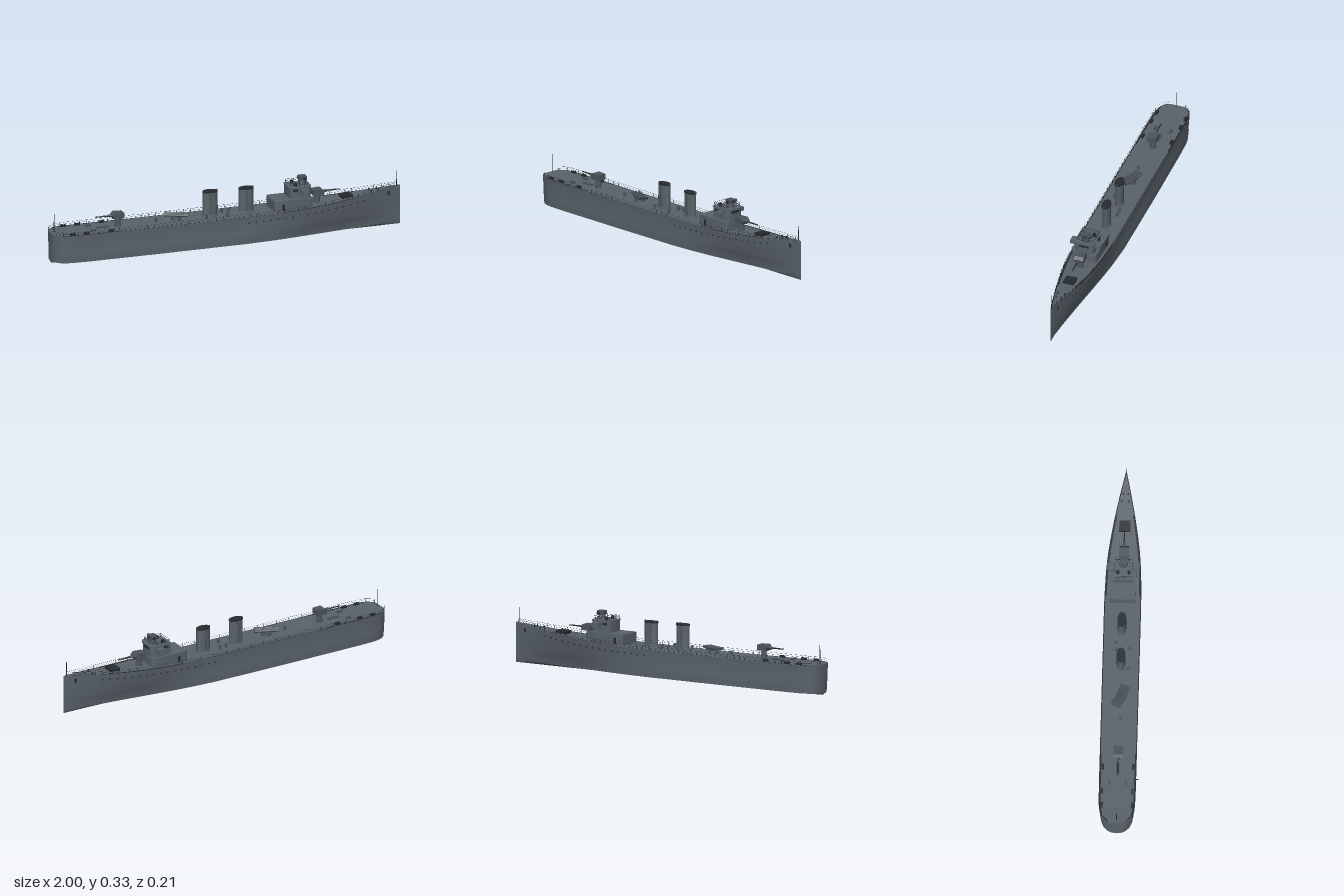
import * as THREE from 'three';
import { mergeGeometries, toCreasedNormals } from 'three/addons/utils/BufferGeometryUtils.js';

const mat = (name, color) => {
  const m = new THREE.MeshStandardMaterial({ color });
  m.name = name;
  return m;
};

export function createModel() {
  const grey = mat('ship grey', 0x59626a);
  const dark = mat('dark steel', 0x272b2f);
  const gunGrey = mat('gun grey', 0x4b535a);
  dark.side = THREE.DoubleSide;
  const ship = new THREE.Group();
  ship.name = 'warship';
  ship.position.z = -0.005; // the side boom reaches further on one side

  const add = (name, geo, m, x = 0, y = 0, z = 0, parent = ship) => {
    const mesh = new THREE.Mesh(geo, m);
    mesh.name = name;
    mesh.position.set(x, y, z);
    parent.add(mesh);
    return mesh;
  };
  const box = (name, w, h, d, m, x, y, z, parent) => add(name, new THREE.BoxGeometry(w, h, d), m, x, y, z, parent);
  const cyl = (name, r0, r1, h, m, x, y, z, parent, n = 16) => add(name, new THREE.CylinderGeometry(r0, r1, h, n), m, x, y, z, parent);

  // x, half width at deck, deck height, half width at bottom
  const table = [
    [-1, 0, 0.168, 0], [-1, 0.04, 0.168, 0.03], [-0.99, 0.062, 0.168, 0.05], [-0.97, 0.08, 0.167, 0.07],
    [-0.94, 0.092, 0.166, 0.083], [-0.9, 0.098, 0.165, 0.09], [-0.8, 0.1, 0.164, 0.094], [-0.4, 0.1, 0.162, 0.097],
    [0.1, 0.1, 0.162, 0.096], [0.25, 0.1, 0.163, 0.087], [0.35, 0.098, 0.165, 0.077], [0.45, 0.094, 0.169, 0.065],
    [0.55, 0.085, 0.175, 0.052], [0.65, 0.071, 0.182, 0.039], [0.75, 0.054, 0.191, 0.027], [0.85, 0.034, 0.202, 0.015],
    [0.94, 0.014, 0.212, 0.006], [1, 0.0005, 0.219, 0.0005],
  ];
  const at = (x, col) => {
    let i = 2;
    while (i < table.length - 1 && table[i][0] < x) i++;
    const [a, b] = [table[i - 1], table[i]];
    return THREE.MathUtils.lerp(a[col], b[col], (x - a[0]) / (b[0] - a[0]));
  };

  // Skin between cross-sections
  const loft = (sections, crease) => {
    const pos = [];
    const put = (...ps) => ps.forEach((p) => pos.push(...p));
    for (let i = 0; i + 1 < sections.length; i++) {
      for (let j = 0; j + 1 < sections[i].length; j++) {
        const [a, b, c, d] = [sections[i][j], sections[i][j + 1], sections[i + 1][j], sections[i + 1][j + 1]];
        put(a, b, c, b, d, c);
      }
    }
    const g = new THREE.BufferGeometry();
    g.setAttribute('position', new THREE.Float32BufferAttribute(pos, 3));
    return toCreasedNormals(g, crease);
  };

  // Hull with a slight bulge at the waterline and a shallow V bottom
  add('hull', loft(table.map(([x, w, y, b]) => {
    const mid = w * 0.45 + b * 0.55;
    const half = [[w, y], [w * 0.72 + b * 0.28 - 0.004 * (w / 0.1), 0.083], [mid, 0.068], [b * 0.85 + mid * 0.15, 0.03], [b, 0.012]];
    return [...half.map(([z, h]) => [x, h, z]), [x, 0, 0], ...half.reverse().map(([z, h]) => [x, h, -z])];
  }), 0.6), grey);
  add('deck', loft(table.map(([x, w, y]) => [[x, y, -w], [x, y, w]]), 0.6), grey);

  // Dark waterway along the deck edge, wider at the stern and beside the bridge
  const strip = (side, x0, x1, width, n) => {
    const rows = [];
    for (let i = 0; i <= n; i++) {
      const x = x0 + (x1 - x0) * i / n, w = at(x, 1), y = at(x, 2) + 0.0015;
      const edge = [[x, y, side * Math.max(w - width, 0)], [x, y, side * w]];
      rows.push(side > 0 ? edge : edge.reverse());
    }
    return loft(rows, 0.6);
  };
  for (const s of [-1, 1]) {
    add('deckEdge', strip(s, -0.995, 0.99, 0.005, 60), dark);
    add('sternDeckEdge', strip(s, -0.95, -0.6, 0.01, 12), dark);
    add('bowDeckEdge', strip(s, 0.3, 0.75, 0.012, 16), dark);
  }

  // Railings
  const railParts = [];
  for (const s of [-1, 1]) {
    for (const h of [0.01, 0.02]) {
      const pts = [];
      for (let i = 0; i <= 50; i++) {
        const x = -0.995 + i * 0.0395;
        pts.push(new THREE.Vector3(x, at(x, 2) + h, s * Math.max(at(x, 1) - 0.002, 0)));
      }
      railParts.push(new THREE.TubeGeometry(new THREE.CatmullRomCurve3(pts), 100, 0.0005, 4));
    }
    for (let i = 0; i <= 50; i++) {
      const x = -0.995 + i * 0.0395;
      railParts.push(new THREE.CylinderGeometry(0.0008, 0.0008, 0.02, 4)
        .translate(x, at(x, 2) + 0.01, s * Math.max(at(x, 1) - 0.002, 0)));
    }
  }
  add('railings', mergeGeometries(railParts), dark);

  // Portholes and anchors
  for (const s of [-1, 1]) {
    for (let i = 0; i < 17; i++) {
      const x = 0.1 + i * 0.0425, y = 0.13 + 0.035 * (i / 16) ** 2;
      const w = at(x, 1), b = at(x, 3), low = w * 0.72 + b * 0.28 - 0.04 * w;
      const z = THREE.MathUtils.lerp(low, w, (y - 0.083) / (at(x, 2) - 0.083));
      cyl('porthole', 0.0045, 0.0045, 0.004, dark, x, y, s * z, ship, 10).rotation.x = Math.PI / 2;
    }
    box('anchor', 0.014, 0.022, 0.006, dark, 0.93, 0.182, s * 0.0145);
    cyl('bollard', 0.004, 0.004, 0.012, dark, 0.83, 0.205, s * 0.02);
    cyl('bollard', 0.004, 0.004, 0.012, dark, 0.87, 0.209, s * 0.014);
  }

  // Blocks with rounded vertical corners
  const block = (name, x0, x1, hw, y0, y1, rBack, rFront, m = grey) => {
    const s = new THREE.Shape();
    s.moveTo(x0 + rBack, -hw).lineTo(x1 - rFront, -hw).quadraticCurveTo(x1, -hw, x1, -hw + rFront);
    s.lineTo(x1, hw - rFront).quadraticCurveTo(x1, hw, x1 - rFront, hw);
    s.lineTo(x0 + rBack, hw).quadraticCurveTo(x0, hw, x0, hw - rBack);
    s.lineTo(x0, -hw + rBack).quadraticCurveTo(x0, -hw, x0 + rBack, -hw);
    const g = new THREE.ExtrudeGeometry(s, { depth: y1 - y0, bevelEnabled: false, curveSegments: 8 });
    return add(name, toCreasedNormals(g.rotateX(-Math.PI / 2), 0.6), m, 0, y0, 0);
  };

  // Bridge
  block('deckhouse', 0.26, 0.48, 0.069, 0.155, 0.222, 0.008, 0.02);
  block('bridge', 0.355, 0.475, 0.053, 0.222, 0.283, 0.006, 0.025);
  block('bridgeRoof', 0.352, 0.478, 0.055, 0.281, 0.286, 0.006, 0.025);
  for (const s of [-1, 1]) {
    box('bridgeWing', 0.04, 0.022, 0.036, grey, 0.43, 0.263, s * 0.069);
    box('sideWindow', 0.03, 0.013, 0.002, dark, 0.385, 0.268, s * 0.0535);
    box('deckhouseDoor', 0.015, 0.035, 0.002, dark, 0.31, 0.185, s * 0.0695);
  }
  for (const [z, w] of [[-0.021, 0.014], [0, 0.022], [0.021, 0.014]]) box('frontWindow', 0.002, 0.014, w, dark, 0.4755, 0.268, z);
  for (const y of [0.296, 0.306]) {
    for (const s of [-1, 1]) box('bridgeRail', 0.1, 0.0012, 0.0012, dark, 0.41, y, s * 0.047);
    for (const x of [0.36, 0.46]) box('bridgeRail', 0.0012, 0.0012, 0.094, dark, x, y, 0);
  }
  for (const s of [-1, 1]) for (let i = 0; i < 5; i++) box('bridgeRailPost', 0.0014, 0.021, 0.0014, dark, 0.36 + i * 0.025, 0.296, s * 0.047);

  // Director and range finder
  cyl('directorPedestal', 0.018, 0.024, 0.026, gunGrey, 0.44, 0.298, 0);
  box('director', 0.042, 0.022, 0.038, gunGrey, 0.44, 0.321, 0);
  cyl('rangeFinder', 0.006, 0.006, 0.064, gunGrey, 0.445, 0.321, 0).rotation.x = Math.PI / 2;
  for (const s of [-1, 1]) {
    cyl('rangeFinderEnd', 0.008, 0.008, 0.008, dark, 0.445, 0.321, s * 0.03).rotation.x = Math.PI / 2;
    cyl('searchlight', 0.009, 0.009, 0.018, dark, 0.39, 0.295, s * 0.03);
  }
  box('directorWindow', 0.002, 0.008, 0.02, dark, 0.4615, 0.323, 0);

  // Deck guns
  const gun = (name, x, deckY, gunY, dir) => {
    const g = new THREE.Group();
    g.name = name;
    g.position.set(x, gunY, 0);
    if (dir < 0) g.rotation.y = Math.PI;
    ship.add(g);
    const h = gunY - 0.01 - deckY;
    cyl('gunPedestal', 0.013, 0.018, h, gunGrey, 0, -0.01 - h / 2, 0, g);
    const s = new THREE.Shape([[-0.028, -0.014], [0.03, -0.014], [0.036, 0.004], [0.022, 0.02], [-0.028, 0.017]].map((p) => new THREE.Vector2(...p)));
    add('gunShield', new THREE.ExtrudeGeometry(s, { depth: 0.052, bevelEnabled: false }), gunGrey, 0, 0, -0.026, g);
    cyl('barrelSleeve', 0.006, 0.007, 0.03, gunGrey, 0.045, 0.002, 0, g).rotation.z = -Math.PI / 2;
    cyl('barrel', 0.003, 0.0045, 0.09, dark, 0.083, 0.002, 0, g).rotation.z = -Math.PI / 2;
  };
  gun('foreGun', 0.525, 0.17, 0.231, 1);
  gun('aftGun', -0.615, 0.162, 0.224, -1);

  // Funnels with caps, steam pipes and ladders
  for (const [x, top, pipe] of [[-0.088, 0.302, 0.31], [0.118, 0.298, 0.306]]) {
    cyl('funnel', 0.04, 0.04, top - 0.16, grey, x, (top + 0.16) / 2, 0, ship, 32).scale.z = 0.55;
    cyl('funnelCap', 0.042, 0.042, 0.009, dark, x, top, 0, ship, 32).scale.z = 0.57;
    cyl('funnelBase', 0.043, 0.045, 0.012, grey, x, 0.166, 0, ship, 32).scale.z = 0.58;
    cyl('steamPipe', 0.004, 0.004, pipe - 0.16, gunGrey, x + 0.039, (pipe + 0.16) / 2, 0, ship, 8);
    for (const s of [-1, 1]) {
      for (let i = 0; i < 11; i++) box('ladderRung', 0.008, 0.002, 0.003, dark, x - 0.004, 0.18 + i * 0.0105, s * 0.0225);
    }
  }

  // Torpedo mount, trained off the centreline
  const mount = new THREE.Group();
  mount.name = 'torpedoMount';
  mount.position.set(-0.282, 0.162, 0.004);
  mount.rotation.y = -0.42;
  ship.add(mount);
  cyl('mountBase', 0.024, 0.028, 0.022, gunGrey, 0, 0.011, 0, mount);
  box('mountCradle', 0.06, 0.006, 0.055, gunGrey, 0, 0.022, 0, mount);
  for (const z of [-0.019, 0, 0.019]) {
    cyl('torpedoTube', 0.0075, 0.0075, 0.13, gunGrey, 0, 0.031, z, mount, 12).rotation.z = Math.PI / 2;
    cyl('tubeMouth', 0.0065, 0.0065, 0.002, dark, 0.0648, 0.031, z, mount, 12).rotation.z = Math.PI / 2;
  }

  // Hatch, lockers and vents on deck
  box('foreHatch', 0.06, 0.018, 0.06, dark, 0.69, 0.192, 0).rotation.z = 0.08;
  box('aftHatch', 0.07, 0.008, 0.02, gunGrey, -0.7, 0.166, 0);
  for (const [x, z] of [[-0.4, 0.005], [-0.12, 0.04], [-0.01, -0.028], [-0.005, 0.045], [0.03, -0.03]]) {
    cyl('ventTrunk', 0.006, 0.006, 0.018, gunGrey, x, 0.17, z, ship, 10);
    cyl('ventHead', 0.01, 0.01, 0.007, gunGrey, x, 0.181, z, ship, 10);
  }
  for (const s of [-1, 1]) {
    box('deckLocker', 0.03, 0.012, 0.012, gunGrey, -0.77, 0.169, s * 0.045);
    for (const x of [-0.9, -0.82, -0.68]) box('depthCharge', 0.03, 0.012, 0.012, dark, x, 0.17, s * 0.082);
  }

  // Flagstaffs and side boom
  cyl('bowStaff', 0.0015, 0.002, 0.085, dark, 0.98, 0.257, 0, ship, 6);
  cyl('sternStaff', 0.0015, 0.002, 0.105, dark, -0.98, 0.218, 0, ship, 6);
  cyl('sideBoom', 0.002, 0.002, 0.03, dark, -0.75, 0.167, 0.097, ship, 6).rotation.x = Math.PI / 2;
  return ship;
}
